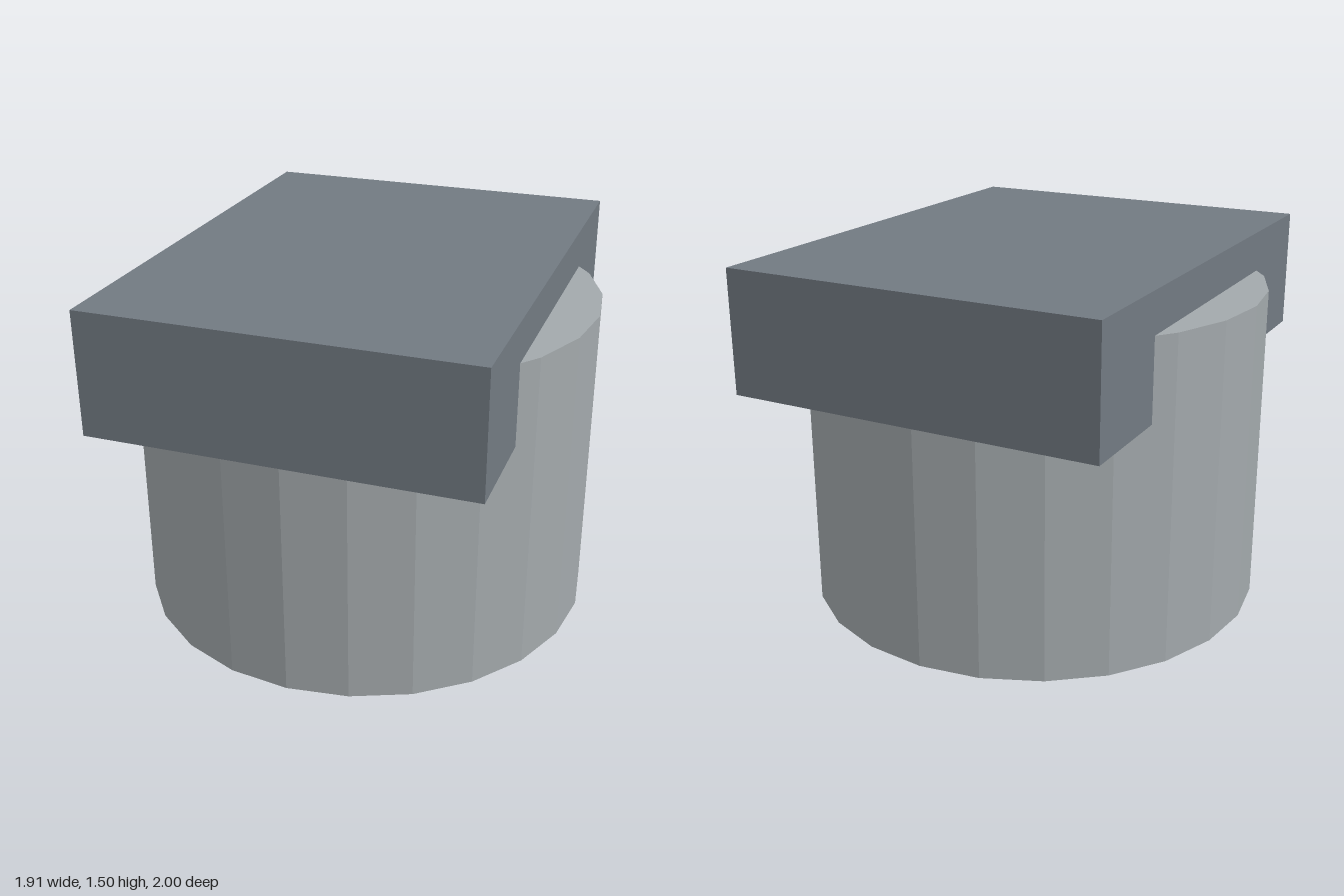
import * as THREE from 'three';

export function createModel() {
  const model = new THREE.Group();
  const lightMetal = new THREE.MeshStandardMaterial({ color: 0xa3a9ac, flatShading: true });
  lightMetal.name = 'lightGrey';
  const darkMetal = new THREE.MeshStandardMaterial({ color: 0x727a82, flatShading: true });
  darkMetal.name = 'slateGrey';

  // Thick-walled sleeve, open at the bottom
  const outer = 0.957, inner = 0.627, height = 1.333;
  const profile = [
    [outer, 0], [outer, height], [inner, height], [inner, 0], [outer, 0],
  ].map(([r, y]) => new THREE.Vector2(r, y));
  const sleeve = new THREE.Mesh(new THREE.LatheGeometry(profile, 24), lightMetal);
  sleeve.name = 'sleeve';
  model.add(sleeve);

  // Rectangular block set into the top of the sleeve, closing its bore
  const block = new THREE.Mesh(new THREE.BoxGeometry(1.54, 0.5, 2), darkMetal);
  block.position.y = 1.25;
  block.name = 'capBlock';
  model.add(block);

  return model;
}
